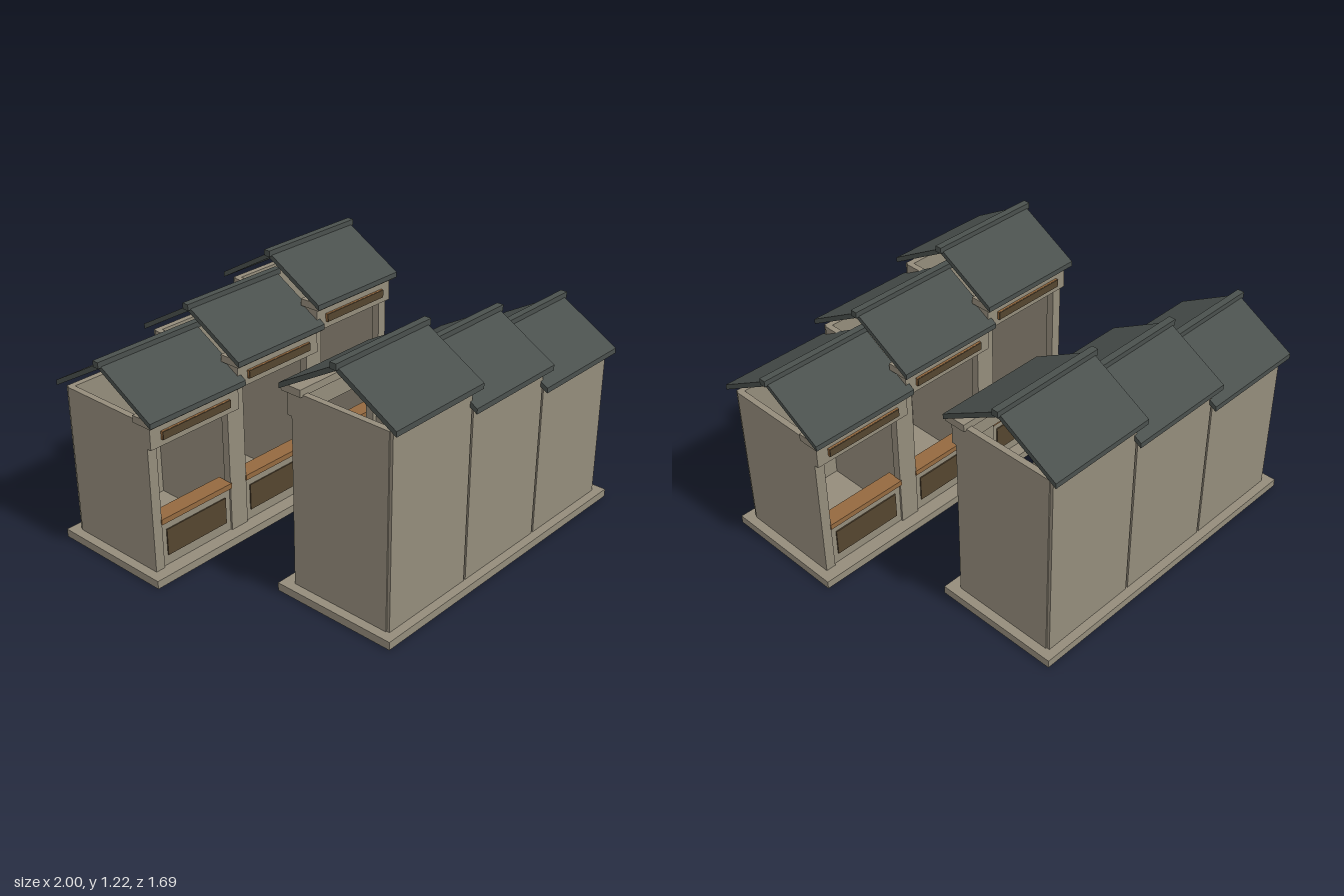
import * as THREE from 'three';

const material = (name, color) => {
  const m = new THREE.MeshStandardMaterial({ color });
  m.name = name;
  return m;
};

export function createModel() {
  const plaster = material('plaster', 0x948c7b);
  const slate = material('slate', 0x4a504d);
  const wood = material('wood', 0x94693f);
  const darkWood = material('dark wood', 0x54452f);

  // Box given by its limits on each axis
  const box = (parent, name, mat, [x0, x1], [y0, y1], [z0, z1]) => {
    const mesh = new THREE.Mesh(new THREE.BoxGeometry(x1 - x0, y1 - y0, z1 - z0), mat);
    mesh.name = name;
    mesh.position.set((x0 + x1) / 2, (y0 + y1) / 2, (z0 + z1) / 2);
    parent.add(mesh);
    return mesh;
  };
  const wide = (half) => [-half, half];

  // One stall: opening faces +z, h is the wall height
  function createStall(h) {
    const stall = new THREE.Group();
    stall.name = 'stall';
    const floor = 0.04;

    // Walls, open above to the roof
    box(stall, 'backWall', plaster, wide(0.254), [floor, h], [-0.8, -0.77]);
    for (const s of [-1, 1]) {
      const side = [0.23 * s, 0.26 * s].sort((a, b) => a - b);
      const post = [0.21 * s, 0.26 * s].sort((a, b) => a - b);
      box(stall, 'sideWall', plaster, side, [floor, h], [-0.785, -0.3]);
      box(stall, 'frontPost', plaster, post, [floor, h], [-0.3, -0.26]);
    }

    // Counter front with dark panel and wooden ledge
    box(stall, 'counterFront', plaster, wide(0.21), [floor, 0.27], [-0.3, -0.27]);
    box(stall, 'counterPanel', darkWood, wide(0.18), [0.09, 0.225], [-0.27, -0.264]);
    box(stall, 'counterLedge', wood, wide(0.214), [0.268, 0.295], [-0.34, -0.254]);

    // Header above the opening, sign board and eave shelf
    box(stall, 'header', plaster, wide(0.26), [h - 0.12, h], [-0.28, -0.237]);
    box(stall, 'signBoard', wood, wide(0.2), [h - 0.087, h - 0.047], [-0.237, -0.226]);
    box(stall, 'signFace', darkWood, wide(0.199), [h - 0.086, h - 0.048], [-0.226, -0.222]);
    box(stall, 'eaveShelf', plaster, wide(0.275), [h - 0.007, h + 0.028], [-0.325, -0.215]);

    // Gable roof: a thin chevron run along x
    const mid = -0.522, reach = 0.315, ridge = h + 0.207, eave = h + 0.026, t = 0.026;
    const shape = new THREE.Shape([
      [-reach, eave], [-reach, eave - t], [0, ridge - t], [reach, eave - t], [reach, eave], [0, ridge],
    ].map(([x, y]) => new THREE.Vector2(x, y)));
    const geometry = new THREE.ExtrudeGeometry(shape, { depth: 0.56, bevelEnabled: false });
    geometry.translate(0, 0, -0.28).rotateY(Math.PI / 2);
    const roof = new THREE.Mesh(geometry, slate);
    roof.name = 'roof';
    roof.position.z = mid;
    stall.add(roof);
    box(stall, 'ridgeCap', slate, wide(0.295), [h + 0.192, h + 0.222], [mid - 0.017, mid + 0.017]);
    return stall;
  }

  // A row of three stalls stepping up towards +x
  function createRow() {
    const row = new THREE.Group();
    row.name = 'stallRow';
    box(row, 'base', plaster, [-1, 0.65], [0, 0.04], [-0.843, -0.2]);
    [0.79, 0.89, 0.995].forEach((h, i) => {
      const stall = createStall(h);
      stall.position.x = -0.695 + 0.52 * i;
      row.add(stall);
    });
    return row;
  }

  // Two rows facing each other across the lane
  const model = new THREE.Group();
  model.name = 'marketStalls';
  const backRow = createRow();
  const frontRow = createRow();
  frontRow.rotation.y = Math.PI;
  model.add(backRow, frontRow);
  return model;
}
